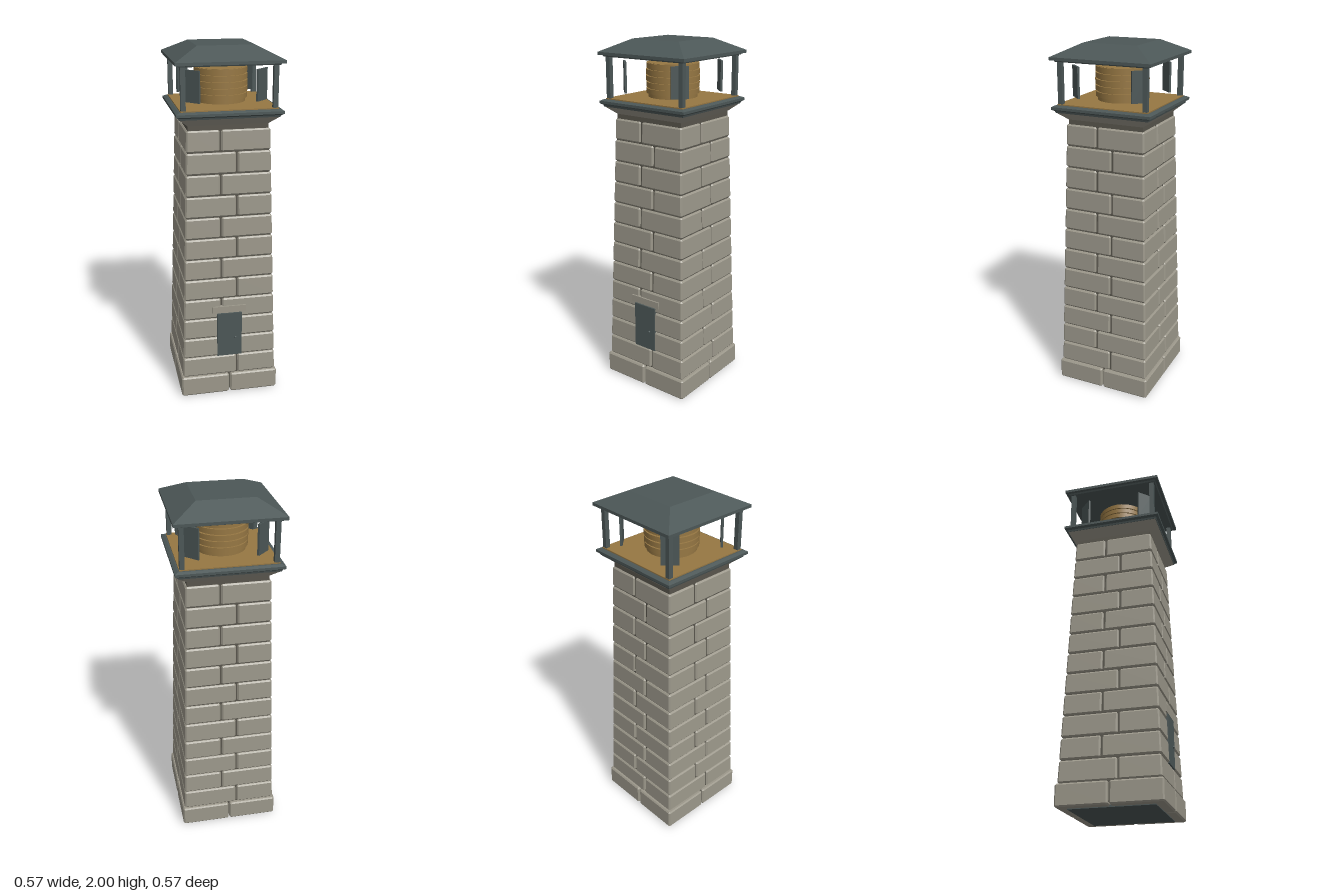
import * as THREE from 'three';

const material = (name, color) => {
  const m = new THREE.MeshStandardMaterial({ color });
  m.name = name;
  return m;
};

export function createModel() {
  const stone = material('stone', 0x9c988b);
  const mortar = material('mortar', 0x57544b);
  const slate = material('slate', 0x4c5757);
  const brass = material('brass', 0x967743);
  const model = new THREE.Group();

  const add = (parent, name, geometry, mat, x = 0, y = 0, z = 0) => {
    const mesh = new THREE.Mesh(geometry, mat);
    mesh.name = name;
    mesh.position.set(x, y, z);
    parent.add(mesh);
    return mesh;
  };
  const group = (name) => {
    const g = new THREE.Group();
    g.name = name;
    model.add(g);
    return g;
  };

  // Flat-faced square frustum between two heights, given half widths
  const frustum = (parent, name, mat, bottom, top, y0, y1) => {
    const g = new THREE.CylinderGeometry(top * Math.SQRT2, bottom * Math.SQRT2, y1 - y0, 4, 1)
      .rotateY(Math.PI / 4).toNonIndexed();
    g.computeVertexNormals();
    return add(parent, name, g, mat, 0, (y0 + y1) / 2, 0);
  };

  // Block with every edge chamfered, spanning x0..x1, z0..z1 and rising from 0 to h
  const chamferedBlock = (x0, x1, z0, z1, h, c) => {
    const shape = new THREE.Shape([
      [x0 + c, -z1], [x1 - c, -z1], [x1, -z1 + c], [x1, -z0 - c],
      [x1 - c, -z0], [x0 + c, -z0], [x0, -z0 - c], [x0, -z1 + c],
    ].map(([x, y]) => new THREE.Vector2(x, y)));
    return new THREE.ExtrudeGeometry(shape, {
      depth: h - 2 * c, bevelEnabled: true, bevelSegments: 1,
      bevelSize: c * 0.8, bevelThickness: c, bevelOffset: -c * 0.8,
    }).translate(0, 0, c).rotateX(-Math.PI / 2);
  };

  // One course: four corner blocks in a pinwheel, narrowing from w0 to w1
  const course = (parent, y, h, w0, w1, joint) => {
    const gap = 0.004;
    const geo = chamferedBlock(joint + gap, w0, -joint + gap, w0, h, 0.008);
    const p = geo.attributes.position;
    for (let i = 0; i < p.count; i++) {
      const s = 1 + (w1 / w0 - 1) * p.getY(i) / h;
      p.setX(i, p.getX(i) * s);
      p.setZ(i, p.getZ(i) * s);
    }
    geo.computeVertexNormals();
    for (let k = 0; k < 4; k++) {
      add(parent, 'stoneBlock', geo, stone, 0, y, 0).rotation.y = k * Math.PI / 2;
    }
  };

  // Tapered masonry shaft on a wider plinth
  const tower = group('tower');
  const y0 = 0.126, rows = 12, pitch = 0.121;
  const halfWidth = (y) => 0.273 - 0.046 * (y - y0) / (rows * pitch);
  course(tower, 0.004, 0.119, 0.283, 0.283, 0);
  for (let i = 0; i < rows; i++) {
    const y = y0 + i * pitch;
    course(tower, y, pitch - 0.005, halfWidth(y), halfWidth(y + pitch), i % 2 ? -0.045 : 0.045);
  }
  frustum(tower, 'mortarCore', mortar, 0.262, 0.217, 0.02, 1.605);
  frustum(tower, 'footPlate', slate, 0.23, 0.23, 0, 0.012);

  // Door with lintel and knob
  const door = group('door');
  add(door, 'doorPanel', new THREE.BoxGeometry(0.144, 0.27, 0.04), slate, 0, 0.38, 0.25);
  add(door, 'lintel', new THREE.BoxGeometry(0.194, 0.04, 0.04), stone, 0, 0.54, 0.248);
  add(door, 'doorKnob', new THREE.SphereGeometry(0.007, 12, 8), slate, 0.035, 0.36, 0.273);

  // Flared cornice, slate rim and gallery floor
  const gallery = group('gallery');
  frustum(gallery, 'flare', stone, 0.216, 0.268, 1.597, 1.642);
  frustum(gallery, 'lowerRim', slate, 0.268, 0.272, 1.64, 1.652);
  frustum(gallery, 'rimUnderside', slate, 0.272, 0.285, 1.65, 1.658);
  frustum(gallery, 'rimEdge', slate, 0.285, 0.285, 1.658, 1.672);
  frustum(gallery, 'rimTop', slate, 0.285, 0.268, 1.672, 1.68);
  frustum(gallery, 'galleryFloor', brass, 0.26, 0.26, 1.67, 1.686);

  // Corner posts with a diagonal panel behind each
  const lantern = group('lantern');
  const postGeo = new THREE.BoxGeometry(0.026, 0.235, 0.026);
  const panelGeo = new THREE.BoxGeometry(0.093, 0.167, 0.012);
  for (const sx of [-1, 1]) {
    for (const sz of [-1, 1]) {
      add(lantern, 'cornerPost', postGeo, slate, sx * 0.244, 1.797, sz * 0.244);
      add(lantern, 'cornerPanel', panelGeo, slate, sx * 0.185, 1.798, sz * 0.185)
        .rotation.y = Math.atan2(sx, sz);
    }
  }

  // Ribbed lamp: five bulging rings around a core
  add(lantern, 'lampCore', new THREE.CylinderGeometry(0.135, 0.135, 0.185, 32), brass, 0, 1.782, 0);
  for (let i = 0; i < 5; i++) {
    const r = 0.148 - 0.0015 * Math.abs(i - 2);
    add(lantern, 'lampRing', new THREE.CylinderGeometry(r, r, 0.027, 32), brass, 0, 1.724 + i * 0.034, 0);
  }

  // Hipped roof with a flat top
  const roof = group('roof');
  frustum(roof, 'eavesUnderside', slate, 0.265, 0.27, 1.908, 1.918);
  frustum(roof, 'eaves', slate, 0.287, 0.287, 1.917, 1.933);
  frustum(roof, 'roofSlope', slate, 0.287, 0.154, 1.933, 2.0);

  return model;
}
